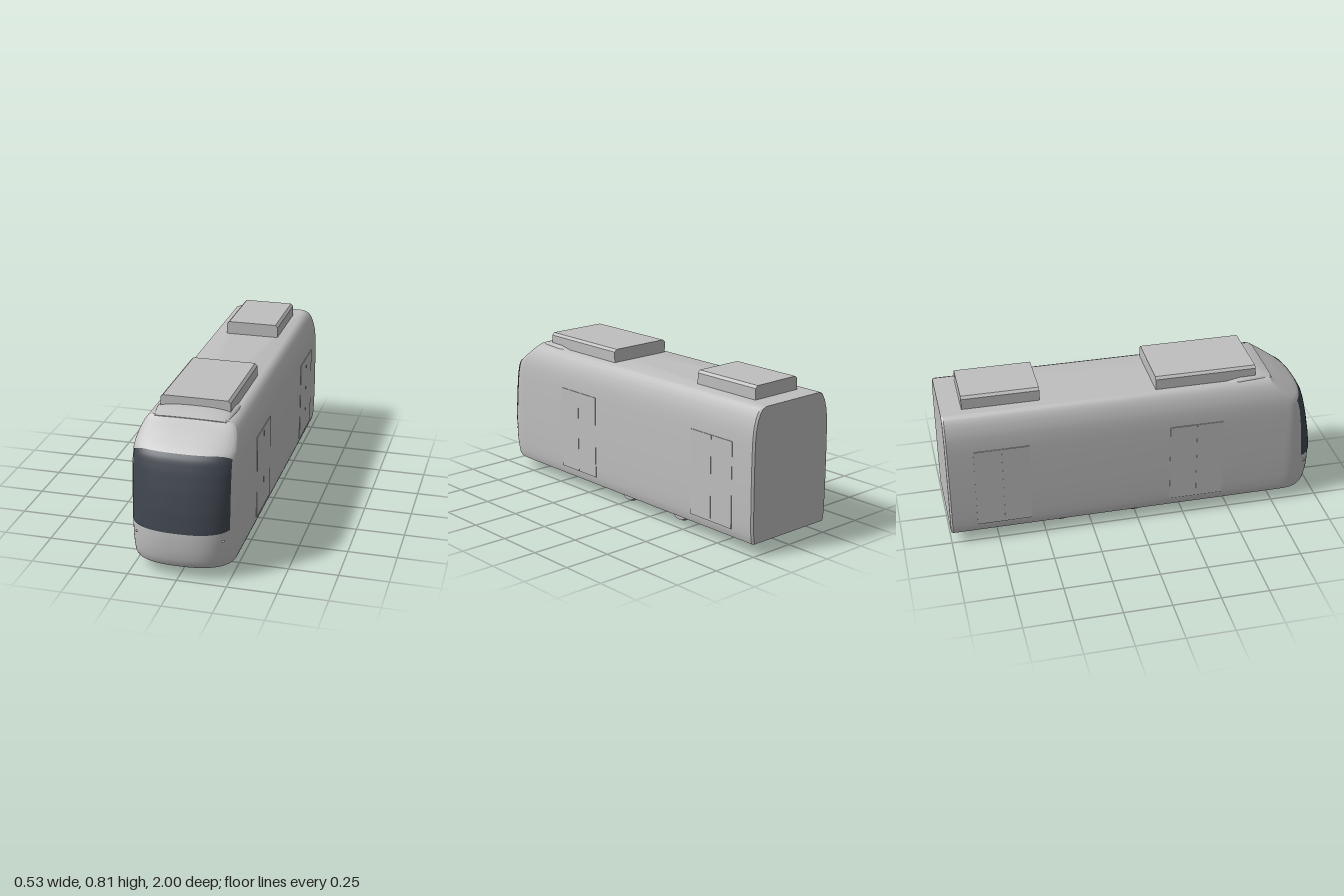
import * as THREE from 'three';
import { toCreasedNormals } from 'three/addons/utils/BufferGeometryUtils.js';

const grey = new THREE.MeshStandardMaterial({ color: 0xbfbfbf });
grey.name = 'light grey';
const glass = new THREE.MeshStandardMaterial({ color: 0x40464f, side: THREE.DoubleSide });
glass.name = 'dark glass';

// Horizontal body slices: height, half width, nose tip z, depth of the nose curve
const SLICES = [
  [0.065, 0.252, 0.975, 0.18], [0.08, 0.257, 0.985, 0.19], [0.11, 0.261, 0.993, 0.2],
  [0.16, 0.263, 1.0, 0.2], [0.26, 0.265, 1.0, 0.2], [0.36, 0.265, 0.985, 0.18],
  [0.46, 0.2645, 0.965, 0.155], [0.55, 0.263, 0.943, 0.13], [0.6, 0.261, 0.927, 0.12],
  [0.625, 0.258, 0.913, 0.11], [0.64, 0.256, 0.895, 0.105], [0.66, 0.252, 0.865, 0.09],
  [0.69, 0.243, 0.82, 0.07], [0.715, 0.232, 0.78, 0.05], [0.735, 0.217, 0.745, 0.03],
  [0.745, 0.195, 0.73, 0.01],
];
const POWER = 2.5;

// Closed, capped skin through rings that run anticlockwise seen from the far end
function loft(rings, crease) {
  const n = rings[0].length, pos = rings.flat(2), idx = [];
  for (let i = 0; i < rings.length - 1; i++) {
    for (let j = 0; j < n; j++) {
      const a = i * n + j, b = i * n + (j + 1) % n;
      idx.push(a, b, b + n, a, b + n, a + n);
    }
  }
  [0, rings.length - 1].forEach((r, end) => {
    const c = pos.length / 3;
    for (let k = 0; k < 3; k++) pos.push(rings[r].reduce((s, p) => s + p[k], 0) / n);
    for (let j = 0; j < n; j++) {
      const a = r * n + j, b = r * n + (j + 1) % n;
      if (end) idx.push(c, a, b); else idx.push(c, b, a);
    }
  });
  const g = new THREE.BufferGeometry();
  g.setAttribute('position', new THREE.Float32BufferAttribute(pos, 3));
  g.setIndex(idx);
  return toCreasedNormals(g, crease);
}

// Plan outline of one body slice, with slightly eased rear corners
function outline([y, w, tip, depth]) {
  const ring = [[-(w - 0.01), y, -1], [-w, y, -0.99]];
  for (let i = 0; i <= 40; i++) {
    const a = Math.PI * (1 - i / 40), c = Math.cos(a), s = Math.max(0, Math.sin(a));
    ring.push([w * Math.sign(c) * Math.abs(c) ** (2 / POWER), y,
      tip - depth + depth * s ** (2 / POWER)]);
  }
  ring.push([w, y, -0.99], [w - 0.01, y, -1]);
  return ring;
}

// Depth of the nose surface at a given x and y
function noseZ(x, y) {
  const i = Math.max(1, SLICES.findIndex((s) => s[0] >= y));
  const p = SLICES[i - 1], q = SLICES[i], t = (y - p[0]) / (q[0] - p[0]);
  const [w, tip, depth] = [1, 2, 3].map((k) => p[k] + (q[k] - p[k]) * t);
  return tip - depth + depth * Math.max(0, 1 - (Math.abs(x) / w) ** POWER) ** (1 / POWER);
}

// Windscreen skin lying just over the nose, with softened corners
function windscreenGeometry() {
  const g = new THREE.PlaneGeometry(0.486, 1, 40, 24), p = g.attributes.position;
  for (let i = 0; i < p.count; i++) {
    const x = p.getX(i), e = (Math.abs(x) / 0.243) ** 10;
    const low = 0.255 + 0.006 * e, high = 0.632 - 0.018 * e;
    const y = low + (high - low) * (p.getY(i) + 0.5);
    p.setXYZ(i, x * 1.005, y, noseZ(x, y) + 0.004);
  }
  g.computeVertexNormals();
  return g;
}

// Roof box with chamfered upper side edges
function roofBox(halfWidth, z0, z1) {
  const c = 0.013, top = 0.815, base = 0.743;
  const shape = new THREE.Shape([
    [-halfWidth, base], [halfWidth, base], [halfWidth, top - c],
    [halfWidth - c, top], [c - halfWidth, top], [-halfWidth, top - c],
  ].map(([x, y]) => new THREE.Vector2(x, y)));
  const g = new THREE.ExtrudeGeometry(shape, { depth: z1 - z0, bevelEnabled: false });
  return g.translate(0, 0, z0);
}

export function createModel() {
  const model = new THREE.Group();
  model.name = 'tram';
  const add = (name, geometry, material = grey, x = 0, y = 0, z = 0) => {
    const mesh = new THREE.Mesh(geometry, material);
    mesh.name = name;
    mesh.position.set(x, y, z);
    model.add(mesh);
    return mesh;
  };

  add('body', loft(SLICES.map(outline), 0.55));
  add('windscreen', windscreenGeometry(), glass);

  // Roof equipment and the fairing that leads up to it
  add('frontRoofBox', roofBox(0.178, 0.11, 0.645));
  add('rearRoofBox', roofBox(0.145, -0.89, -0.49));
  const fairing = [
    [0.48, 0.18, 0.006], [0.5, 0.195, 0.014], [0.56, 0.2, 0.032],
    [0.64, 0.196, 0.036], [0.69, 0.19, 0.025], [0.735, 0.18, 0.005],
  ].map(([z, w, h]) => Array.from({ length: 25 }, (_, i) => {
    const a = Math.PI * i / 24, c = Math.cos(a);
    return [w * Math.sign(c) * Math.abs(c) ** 0.8, 0.74 + h * Math.sin(a) ** 0.8, z];
  }));
  add('roofFairing', loft(fairing, 0.8));

  // Flanged wheel profile: radius, offset outward
  const wheel = new THREE.LatheGeometry([
    [0, -0.013], [0.062, -0.013], [0.068, -0.009], [0.068, -0.005],
    [0.063, -0.002], [0.06, 0.013], [0.045, 0.015], [0, 0.015],
  ].map(([r, h]) => new THREE.Vector2(r, h)), 40);
  const wheelGeometry = toCreasedNormals(wheel, 0.5);
  const axle = new THREE.CylinderGeometry(0.007, 0.007, 0.31, 12).rotateZ(Math.PI / 2);

  for (const z of [0, -0.4]) {
    add('axle', axle, grey, 0, 0.066, z);
    for (const side of [-1, 1]) {
      add('wheel', wheelGeometry, grey, side * 0.168, 0.068, z).rotation.z = -side * Math.PI / 2;
    }
  }

  // Double-leaf doors and small front lamps on both sides
  const leaf = new THREE.BoxGeometry(0.02, 0.445, 0.143);
  const lamp = new THREE.SphereGeometry(0.006, 12, 8);
  for (const side of [-1, 1]) {
    for (const z of [0.387, 0.2425, -0.6425, -0.7875]) {
      add('doorLeaf', leaf, grey, side * 0.2565, 0.3325, z);
    }
    add('lamp', lamp, grey, side * 0.218, 0.21, noseZ(0.218, 0.21));
  }
  return model;
}
